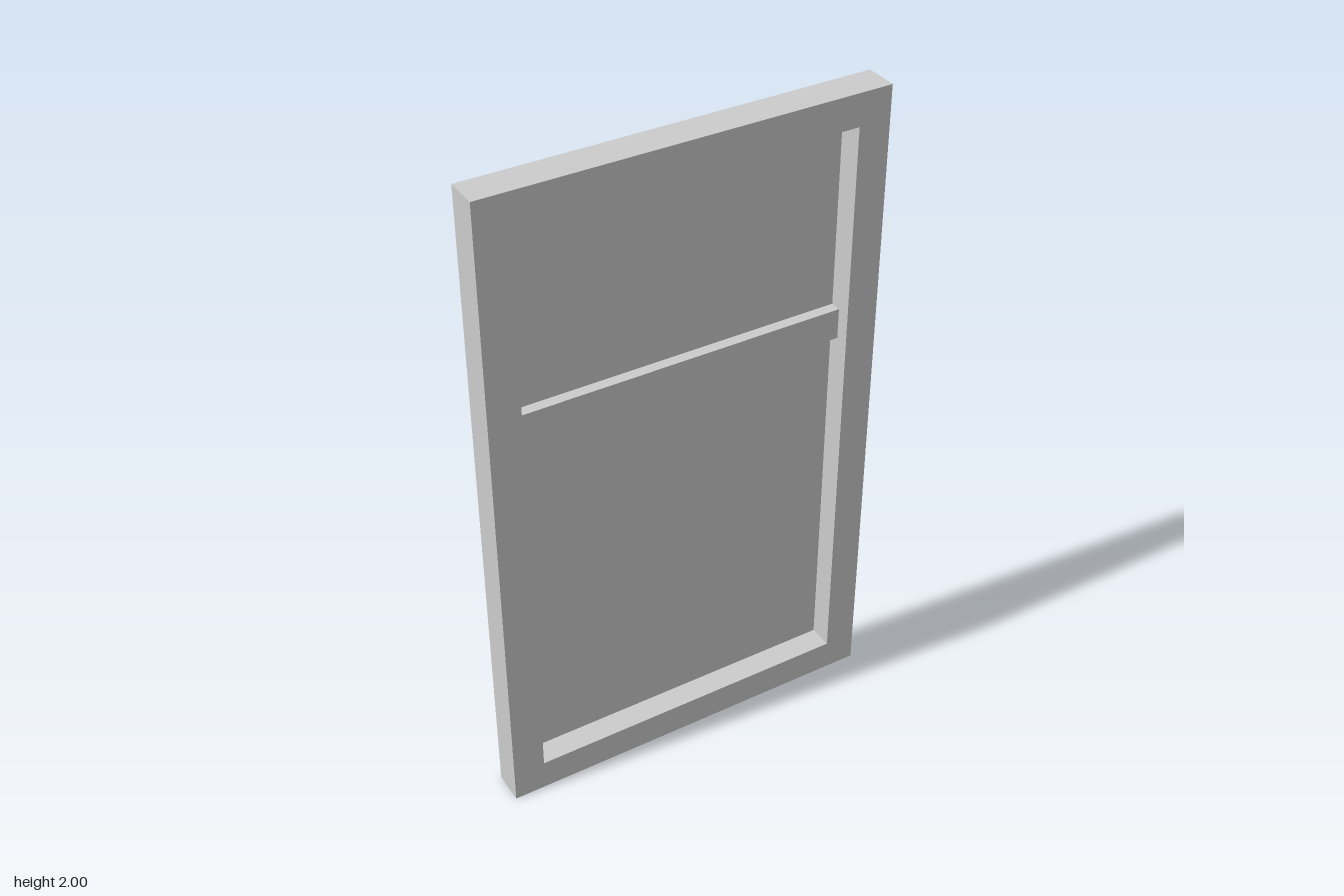
import * as THREE from 'three';

const material = new THREE.MeshStandardMaterial({ color: 0xcccccc, side: THREE.DoubleSide });

// Box between two corners, keeping only its first faces
// (4 = side walls only, 5 = side walls and front), so the back stays open.
function shell(name, [x0, x1], [y0, y1], [z0, z1], faces) {
  const geo = new THREE.BoxGeometry(x1 - x0, y1 - y0, z1 - z0);
  geo.setIndex([...geo.index.array].slice(0, faces * 6));
  geo.clearGroups();
  geo.translate((x0 + x1) / 2, (y0 + y1) / 2, (z0 + z1) / 2);
  const mesh = new THREE.Mesh(geo, material);
  mesh.name = name;
  return mesh;
}

function rectangle(Type, x0, x1, y0, y1) {
  return new Type([[x0, y0], [x1, y0], [x1, y1], [x0, y1]].map(([x, y]) => new THREE.Vector2(x, y)));
}

export function createModel() {
  const group = new THREE.Group();
  group.name = 'window';

  const front = 0.05, back = -0.05, paneZ = -0.025, lipZ = -0.036;
  const openX = [-0.503, 0.503], openY = [0.097, 1.903];

  // Flat face of the frame around the opening
  const face = rectangle(THREE.Shape, -0.6, 0.6, 0, 2);
  face.holes.push(rectangle(THREE.Path, ...openX, ...openY));
  const frameFace = new THREE.Mesh(new THREE.ShapeGeometry(face), material);
  frameFace.name = 'frameFace';
  frameFace.position.z = front;
  group.add(frameFace);

  // Outer walls, open at the back
  group.add(shell('outerWalls', [-0.6, 0.6], [0, 2], [back, front], 4));

  // Reveal of the opening, running just past the pane
  group.add(shell('reveal', openX, openY, [lipZ, front], 4));

  // Crossbar between the upper and lower panes
  group.add(shell('crossbar', [-0.506, 0.506], [1.23, 1.325], [lipZ, 0.008], 5));

  // Single pane behind the crossbar, a little larger than the opening
  const pane = new THREE.Mesh(
    new THREE.ShapeGeometry(rectangle(THREE.Shape, -0.55, 0.513, 0.055, 1.96)), material);
  pane.name = 'pane';
  pane.position.z = paneZ;
  group.add(pane);

  return group;
}
